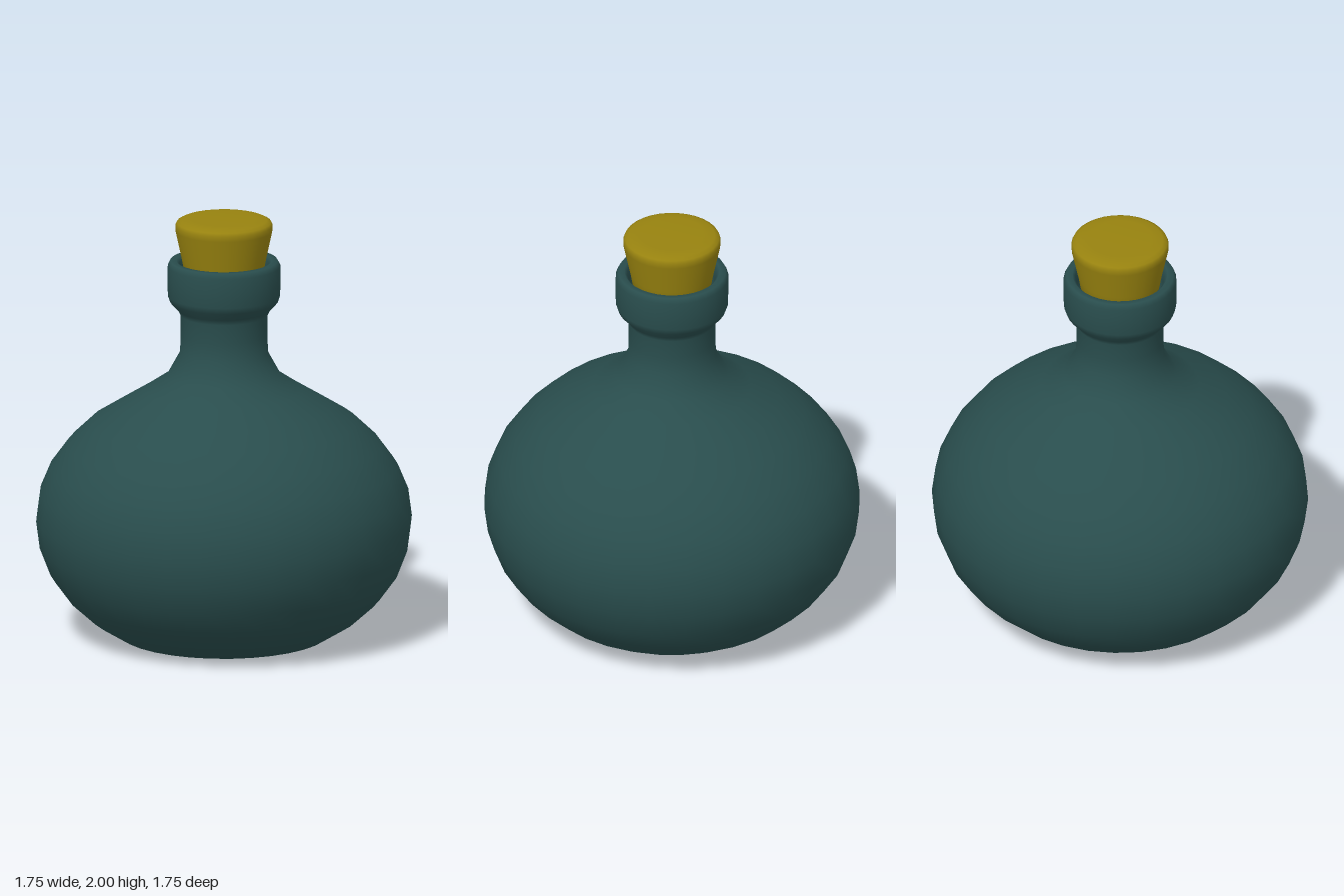
import * as THREE from 'three';

const SEGMENTS = 32;

// Revolve a profile of [radius, height] pairs about the y axis
function turned(name, profile, material) {
  const points = profile.map(([r, y]) => new THREE.Vector2(r, y));
  const mesh = new THREE.Mesh(new THREE.LatheGeometry(points, SEGMENTS), material);
  mesh.name = name;
  return mesh;
}

export function createModel() {
  const glass = new THREE.MeshStandardMaterial({ color: 0x294d4d });
  glass.name = 'dark teal glass';
  const corkMaterial = new THREE.MeshStandardMaterial({ color: 0x97820f });
  corkMaterial.name = 'ochre cork';

  const group = new THREE.Group();
  group.name = 'corkedBottle';

  // Base, round belly, neck, thick collar and hollow mouth
  group.add(turned('bottle', [
    [0, 0], [0.37, 0], [0.49, 0.01],
    [0.62, 0.09], [0.73, 0.19], [0.81, 0.3], [0.86, 0.43], [0.877, 0.56],
    [0.86, 0.69], [0.81, 0.81], [0.73, 0.92], [0.62, 1.025],
    [0.5, 1.1], [0.37, 1.18], [0.265, 1.25],
    [0.205, 1.36], [0.203, 1.45], [0.203, 1.54], [0.215, 1.565],
    [0.252, 1.605], [0.262, 1.635], [0.264, 1.7], [0.263, 1.775],
    [0.25, 1.8], [0.222, 1.8], [0.208, 1.785], [0.202, 1.74], [0.2, 1.55], [0, 1.55],
  ], glass));

  // Tapered stopper with a rounded top edge
  group.add(turned('cork', [
    [0, 1.6], [0.16, 1.6], [0.195, 1.8], [0.226, 1.945],
    [0.227, 1.97], [0.22, 1.985], [0.2, 1.995], [0.15, 2], [0, 2],
  ], corkMaterial));

  return group;
}
